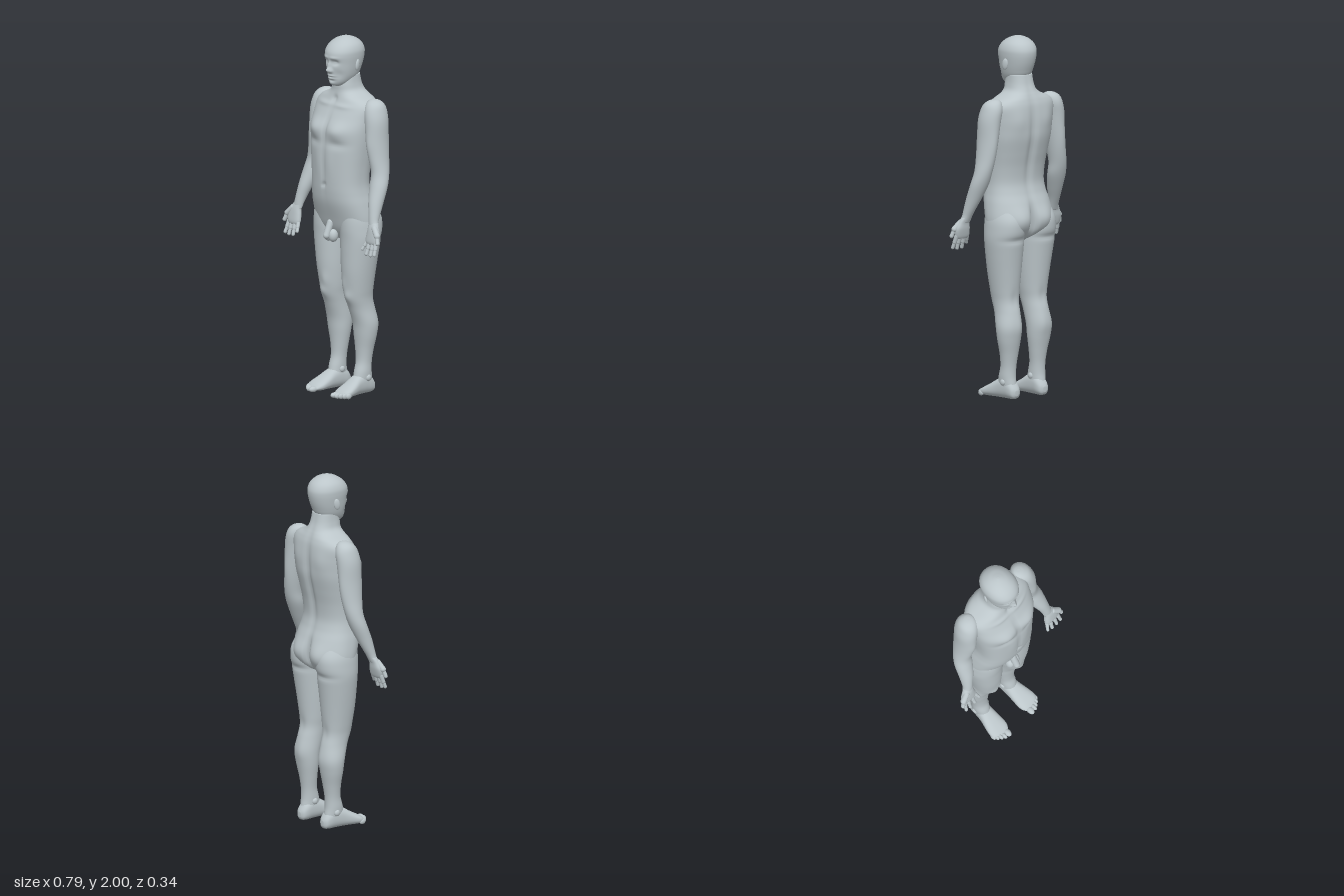
import * as THREE from 'three';

const skin = new THREE.MeshStandardMaterial({ color: 0xbcc6ca });
skin.name = 'paleGrey';

// Catmull-Rom value between b and c
const spline = (a, b, c, d, t) =>
  0.5 * (2 * b + (c - a) * t + (2 * a - 5 * b + 4 * c - d) * t * t + (3 * b - a - 3 * c + d) * t * t * t);

// Closed skin through rows [height, centreX, halfWidth, back, front], listed upward.
// Bumps [x, y, spreadX, spreadY, amount, side] swell the front (1) or back (-1).
function loft(rows, { seg = 48, sub = 5, power = 1, bumps = [] } = {}) {
  const rings = [];
  const at = i => rows[Math.max(0, Math.min(rows.length - 1, i))];
  for (let i = 0; i < rows.length - 1; i++) {
    for (let k = 0; k < sub; k++) {
      rings.push(at(i).map((_, c) => spline(at(i - 1)[c], at(i)[c], at(i + 1)[c], at(i + 2)[c], k / sub)));
    }
  }
  rings.push(rows[rows.length - 1]);
  // pinch both ends shut
  const point = ([s, cx, , b, f]) => [s, cx, 0, (b + f) / 2, (b + f) / 2];
  rings.unshift(point(rings[0]));
  rings.push(point(rings[rings.length - 1]));

  const pos = [], index = [];
  const round = v => Math.sign(v) * Math.abs(v) ** power;
  rings.forEach(([s, cx, rx, back, front], i) => {
    for (let j = 0; j < seg; j++) {
      const a = (j / seg) * Math.PI * 2, sn = Math.sin(a);
      const x = cx + rx * round(Math.cos(a));
      let z = (back + front) / 2 + ((front - back) / 2) * round(sn);
      if (rx > 0) {
        for (const [bx, by, sx, sy, amount, side] of bumps) {
          if (sn * side <= 0) continue;
          const g = Math.exp(-(((Math.abs(x) - bx) / sx) ** 2) - ((s - by) / sy) ** 2);
          z += side * amount * g * Math.min(1, Math.abs(sn) * 2);
        }
      }
      pos.push(x, s, z);
      if (i < rings.length - 1) {
        const n = (j + 1) % seg, p = i * seg;
        index.push(p + j, p + seg + j, p + n, p + n, p + seg + j, p + seg + n);
      }
    }
  });
  const g = new THREE.BufferGeometry();
  g.setAttribute('position', new THREE.Float32BufferAttribute(pos, 3));
  g.setIndex(index);
  g.computeVertexNormals();
  return g;
}

// Stretched ball
const ball = (x, y, z, rx, ry, rz) => new THREE.SphereGeometry(1, 24, 16).scale(rx, ry, rz).translate(x, y, z);

// Rounded rod between two points
function rod(a, b, r) {
  const p = new THREE.Vector3(...a), q = new THREE.Vector3(...b);
  const dir = q.clone().sub(p);
  const turn = new THREE.Quaternion().setFromUnitVectors(new THREE.Vector3(0, 1, 0), dir.clone().normalize());
  const mid = p.add(q).multiplyScalar(0.5);
  return new THREE.CapsuleGeometry(r, dir.length(), 6, 14).applyQuaternion(turn).translate(mid.x, mid.y, mid.z);
}

function mirrored(geometry) {
  const g = geometry.clone().scale(-1, 1, 1);
  const idx = g.index.array;
  for (let i = 0; i < idx.length; i += 3) [idx[i], idx[i + 1]] = [idx[i + 1], idx[i]];
  const n = g.attributes.normal;
  g.computeVertexNormals();
  return n ? g : geometry;
}

export function createModel() {
  const model = new THREE.Group();
  model.name = 'standingFigure';
  const add = (name, geometry, parent = model) => {
    const mesh = new THREE.Mesh(geometry, skin);
    mesh.name = name;
    parent.add(mesh);
  };
  const pair = (name, geometry) => {
    add('left' + name, geometry);
    add('right' + name, mirrored(geometry));
  };

  // Torso and neck
  add('torso', loft([
    [0.865, 0, 0.09, -0.06, 0.03], [0.9, 0, 0.17, -0.11, 0.065], [0.94, 0, 0.2, -0.14, 0.088],
    [1.0, 0, 0.203, -0.15, 0.108], [1.08, 0, 0.192, -0.135, 0.133], [1.14, 0, 0.18, -0.115, 0.143],
    [1.2, 0, 0.174, -0.104, 0.147], [1.28, 0, 0.178, -0.112, 0.149], [1.36, 0, 0.187, -0.13, 0.149],
    [1.44, 0, 0.197, -0.148, 0.146], [1.5, 0, 0.202, -0.152, 0.138], [1.56, 0, 0.205, -0.152, 0.112],
    [1.62, 0, 0.204, -0.147, 0.082], [1.655, 0, 0.175, -0.138, 0.066], [1.682, 0, 0.115, -0.127, 0.058],
    [1.705, 0, 0.084, -0.116, 0.054], [1.74, 0, 0.073, -0.102, 0.052], [1.79, 0, 0.068, -0.09, 0.04],
  ], {
    seg: 112, sub: 7, power: 0.84,
    bumps: [
      [0.085, 1.495, 0.06, 0.045, 0.018, 1], [0.09, 1.42, 0.06, 0.022, -0.008, 1], // chest
      [0, 1.5, 0.014, 0.08, -0.01, 1], [0, 1.28, 0.01, 0.12, -0.006, 1],           // midline
      [0.045, 1.32, 0.03, 0.09, 0.004, 1], [0, 1.185, 0.011, 0.012, -0.012, 1],    // belly
      [0.07, 1.625, 0.06, 0.012, 0.006, 1], [0, 1.655, 0.015, 0.02, -0.01, 1],     // collarbones
      [0, 1.4, 0.022, 0.24, -0.016, -1], [0.1, 1.54, 0.05, 0.07, 0.008, -1],       // spine, shoulder blades
      [0.085, 0.99, 0.065, 0.075, 0.024, -1], [0, 0.97, 0.018, 0.085, -0.04, -1],  // buttocks
    ],
  }));

  // Head
  add('head', loft([
    [1.728, 0, 0.02, 0.015, 0.06], [1.735, 0, 0.036, -0.01, 0.078], [1.755, 0, 0.056, -0.05, 0.09],
    [1.785, 0, 0.072, -0.085, 0.096], [1.82, 0, 0.082, -0.102, 0.1], [1.86, 0, 0.089, -0.116, 0.103],
    [1.9, 0, 0.094, -0.124, 0.108], [1.93, 0, 0.093, -0.122, 0.101], [1.96, 0, 0.08, -0.106, 0.078],
    [1.983, 0, 0.055, -0.077, 0.045], [1.995, 0, 0.028, -0.045, 0.014], [2.0, 0, 0.006, -0.022, -0.01],
  ], {
    seg: 112, sub: 8, power: 0.94,
    bumps: [
      [0.034, 1.868, 0.019, 0.014, -0.015, 1], [0.032, 1.866, 0.011, 0.006, 0.005, 1], // eyes
      [0.03, 1.892, 0.026, 0.009, 0.005, 1],                                           // brow
      [0, 1.823, 0.013, 0.014, 0.026, 1], [0, 1.85, 0.009, 0.02, 0.013, 1],            // nose
      [0.014, 1.817, 0.007, 0.008, 0.008, 1],
      [0, 1.79, 0.024, 0.006, 0.008, 1], [0, 1.776, 0.02, 0.006, 0.008, 1],            // lips
      [0, 1.783, 0.026, 0.0035, -0.005, 1], [0, 1.763, 0.025, 0.006, -0.004, 1],
      [0, 1.745, 0.022, 0.012, 0.007, 1], [0.05, 1.8, 0.02, 0.025, -0.006, 1],         // chin, cheeks
    ],
  }));
  pair('Ear', ball(0, 0, 0, 0.009, 0.032, 0.018).rotateY(0.35).rotateX(-0.15).translate(0.095, 1.85, -0.018));

  // Arms
  pair('Arm', loft([
    [0.985, 0.316, 0.034, 0.042, 0.082], [1.02, 0.307, 0.03, 0.026, 0.078], [1.06, 0.3, 0.033, 0.005, 0.072],
    [1.12, 0.288, 0.042, -0.026, 0.06], [1.2, 0.274, 0.052, -0.063, 0.035], [1.27, 0.264, 0.048, -0.086, 0.018],
    [1.35, 0.249, 0.048, -0.1, 0.024], [1.45, 0.235, 0.052, -0.106, 0.03], [1.55, 0.226, 0.057, -0.112, 0.03],
    [1.61, 0.214, 0.056, -0.112, 0.022], [1.645, 0.206, 0.048, -0.1, 0.005], [1.664, 0.198, 0.03, -0.08, -0.02],
    [1.67, 0.195, 0.01, -0.06, -0.04],
  ], { bumps: [[0.235, 1.42, 0.03, 0.06, 0.006, 1], [0.245, 1.43, 0.03, 0.07, 0.005, -1]] }));

  // Hands, palms forward and thumbs outward
  pair('Palm', loft([
    [0.896, 0.322, 0.036, 0.066, 0.092], [0.912, 0.322, 0.047, 0.058, 0.096], [0.95, 0.325, 0.047, 0.048, 0.092],
    [0.985, 0.32, 0.036, 0.043, 0.086], [1.015, 0.309, 0.029, 0.032, 0.076],
  ], { seg: 32, power: 0.85 }));
  const fingers = [
    [0.36, 0.368, 0.842], [0.335, 0.338, 0.836], [0.308, 0.304, 0.838], [0.286, 0.27, 0.86],
  ];
  fingers.forEach(([x, tipX, tipY], i) => {
    const r = i === 3 ? 0.0095 : 0.011;
    const knuckle = [(x + tipX) / 2, (0.91 + tipY) / 2, 0.09];
    pair('Finger' + (i + 1), rod([x, 0.912, 0.078], knuckle, r + 0.001));
    pair('Fingertip' + (i + 1), rod(knuckle, [tipX, tipY + 0.004, 0.101], r - 0.001));
  });
  pair('ThumbBase', rod([0.338, 0.985, 0.072], [0.371, 0.95, 0.083], 0.017));
  pair('Thumb', rod([0.371, 0.95, 0.083], [0.384, 0.912, 0.092], 0.0115));

  // Legs
  pair('Leg', loft([
    [0.03, 0.102, 0.03, -0.105, -0.01], [0.07, 0.103, 0.04, -0.108, 0.012], [0.12, 0.104, 0.043, -0.1, 0.004],
    [0.18, 0.103, 0.043, -0.1, -0.012], [0.25, 0.103, 0.052, -0.11, -0.012], [0.33, 0.106, 0.066, -0.125, -0.004],
    [0.4, 0.107, 0.071, -0.133, 0.006], [0.48, 0.101, 0.066, -0.119, 0.032], [0.54, 0.099, 0.067, -0.106, 0.055],
    [0.6, 0.099, 0.075, -0.107, 0.067], [0.7, 0.102, 0.087, -0.118, 0.08], [0.8, 0.106, 0.097, -0.131, 0.085],
    [0.88, 0.109, 0.103, -0.143, 0.088], [0.94, 0.109, 0.101, -0.155, 0.092], [1.0, 0.108, 0.094, -0.15, 0.092],
    [1.07, 0.108, 0.07, -0.11, 0.085],
  ], {
    seg: 64, sub: 6, power: 0.95,
    bumps: [
      [0.1, 0.555, 0.03, 0.032, 0.01, 1], [0.075, 0.62, 0.025, 0.04, 0.007, 1], // kneecap, thigh
      [0.1, 0.55, 0.025, 0.05, -0.006, -1], [0.08, 0.4, 0.03, 0.07, 0.005, -1], // knee hollow, calf
      [0.11, 0.885, 0.08, 0.015, -0.008, -1],                                   // seat fold
    ],
  }));
  pair('InnerAnkle', ball(0.064, 0.105, -0.045, 0.012, 0.018, 0.018));
  pair('OuterAnkle', ball(0.143, 0.092, -0.055, 0.012, 0.018, 0.018));

  // Feet, lofted from toes to heel
  pair('Foot', loft([
    [-0.135, 0.11, 0.036, 0.006, 0.026], [-0.115, 0.113, 0.052, 0.003, 0.042], [-0.09, 0.113, 0.058, 0, 0.056],
    [-0.05, 0.11, 0.054, 0, 0.078], [0, 0.105, 0.046, 0, 0.108], [0.05, 0.102, 0.042, 0, 0.12],
    [0.09, 0.1, 0.039, 0, 0.1], [0.115, 0.1, 0.03, 0.005, 0.07], [0.126, 0.1, 0.012, 0.02, 0.05],
  ], { power: 0.85 }).rotateX(-Math.PI / 2));
  const toes = [[0.09, 0.142, 0.018, 0.029], [0.116, 0.142, 0.012, 0.024], [0.134, 0.132, 0.011, 0.022],
    [0.15, 0.12, 0.011, 0.021], [0.163, 0.106, 0.011, 0.02]];
  toes.forEach(([x, z, r, len], i) => pair('Toe' + (i + 1), ball(x, 0.016, z, r, 0.016, len)));

  // Groin
  const groin = new THREE.Group();
  groin.name = 'groin';
  model.add(groin);
  add('groinUpper', rod([0, 0.965, 0.095], [0, 0.895, 0.125], 0.019), groin);
  for (const side of [-1, 1]) add('groinLower', ball(side * 0.018, 0.893, 0.092, 0.026, 0.036, 0.028), groin);

  return model;
}
